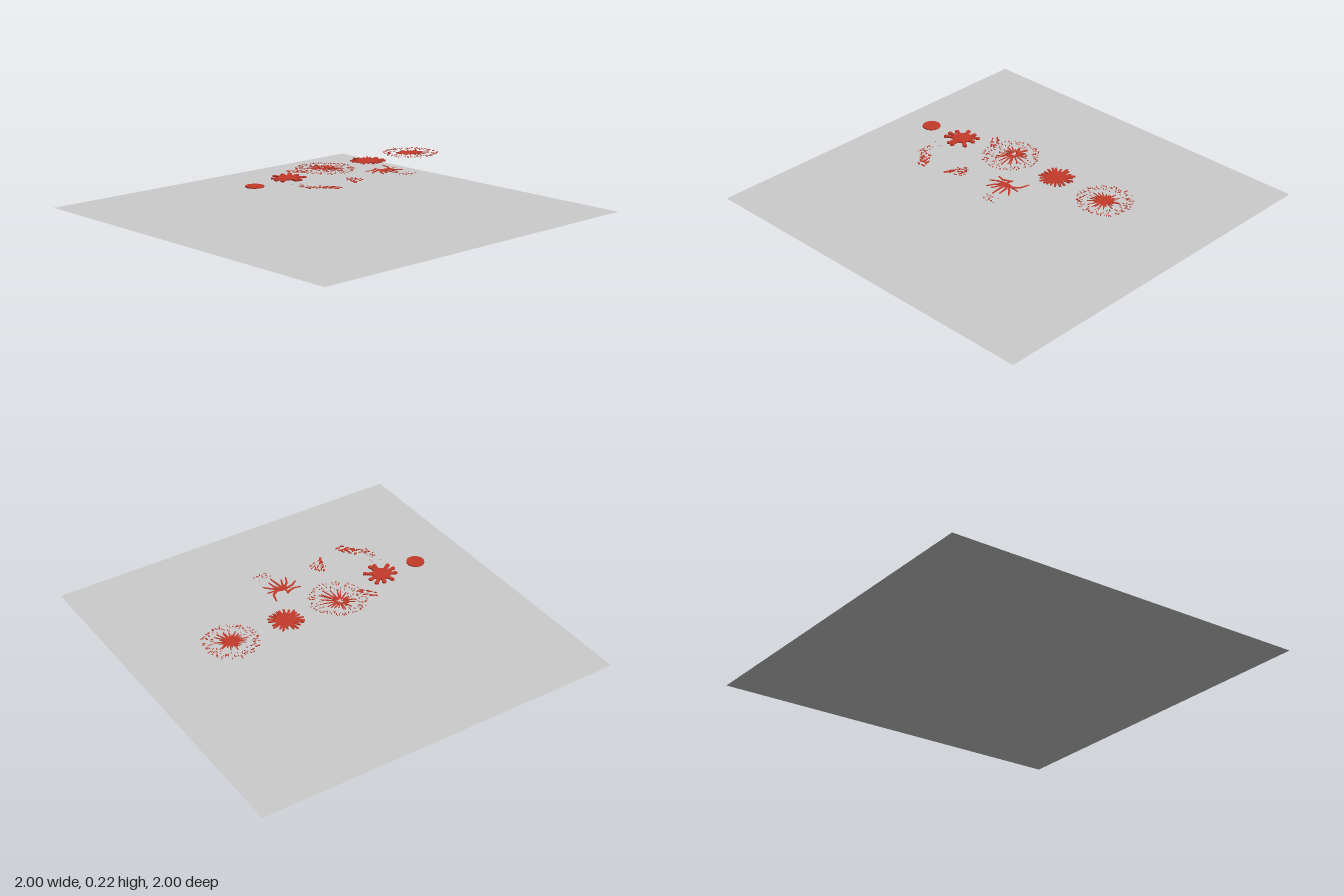
import * as THREE from 'three';

const red = new THREE.MeshStandardMaterial({ color: 0xc43a2a });
const grey = new THREE.MeshStandardMaterial({ color: 0xcccccc, side: THREE.DoubleSide });

// Small seeded random source
function seeded(seed) {
  let s = seed;
  return (a, b) => {
    s = (s * 16807) % 2147483647;
    return a + (b - a) * (s / 2147483647);
  };
}

// Outline of a streak from (x0, z0) to (x1, z1) with round ends of radius r0 and r1
function streak(x0, z0, x1, z1, r0, r1 = r0, steps = 4) {
  const a = Math.atan2(z0 - z1, x1 - x0);
  const pts = [];
  for (const [x, z, r, start] of [[x1, z1, r1, a - Math.PI / 2], [x0, z0, r0, a + Math.PI / 2]]) {
    for (let i = 0; i <= steps; i++) {
      const t = start + (Math.PI * i) / steps;
      pts.push(new THREE.Vector2(x + r * Math.cos(t), -z + r * Math.sin(t)));
    }
  }
  return new THREE.Shape(pts);
}

// Streak running outwards from a centre, between two distances
function ray(cx, cz, angle, d0, d1, r0, r1) {
  const c = Math.cos(angle), s = Math.sin(angle);
  return streak(cx + c * d0, cz + s * d0, cx + c * d1, cz + s * d1, r0, r1);
}

function disc(x, z, r) {
  const shape = new THREE.Shape();
  shape.absarc(x, -z, r, 0, Math.PI * 2);
  return shape;
}

// Chain of streaks through [x, z] points, thinning to its end
function branch(points, r0, r1) {
  const n = points.length - 1;
  return points.slice(1).map((p, i) => streak(...points[i], ...p,
    r0 + (r1 - r0) * i / n, r0 + (r1 - r0) * (i + 1) / n));
}

function addSplat(group, name, shapes, y, depth) {
  const geometry = new THREE.ExtrudeGeometry(shapes, { depth, bevelEnabled: false, curveSegments: 16 });
  geometry.rotateX(-Math.PI / 2);
  const mesh = new THREE.Mesh(geometry, red);
  mesh.name = name;
  mesh.position.y = y;
  group.add(mesh);
}

export function createModel() {
  const group = new THREE.Group();
  group.name = 'splatterSheet';
  const TAU = Math.PI * 2;

  // Square sheet below the splats
  const sheet = new THREE.Mesh(new THREE.PlaneGeometry(2, 2).rotateX(-Math.PI / 2), grey);
  sheet.name = 'groundSheet';
  group.add(sheet);

  // Plain round drop
  addSplat(group, 'roundDrop', [disc(-0.538, 0.015, 0.046)], 0.203, 0.005);

  // Drop with thick knobbed arms
  const knobs = [[-0.078, 0.008], [-0.07, 0.045], [-0.012, 0.078], [0.012, 0.08], [0.068, 0.046],
    [0.07, -0.01], [0.062, -0.052], [0.025, -0.064], [-0.022, -0.068], [-0.065, -0.03]];
  const lobed = [disc(-0.322, 0.008, 0.047)];
  for (const [x, z] of knobs) {
    lobed.push(streak(-0.322 + x * 0.4, 0.008 + z * 0.4, -0.322 + x, 0.008 + z, 0.011, 0.007));
    lobed.push(disc(-0.322 + x, 0.008 + z, 0.011));
  }
  addSplat(group, 'lobedSplat', lobed, 0.211, 0.007);

  // Drop with a fringe of short spokes
  let rnd = seeded(41);
  const fringed = [disc(0.278, -0.05, 0.052)];
  for (let i = 0; i < 22; i++) {
    const a = (i / 22) * TAU + rnd(-0.06, 0.06);
    fringed.push(ray(0.278, -0.05, a, 0.045, rnd(0.072, 0.09), 0.007, 0.005));
  }
  addSplat(group, 'fringedSplat', fringed, 0.203, 0.004);

  // Burst with a spiky core and flying specks
  rnd = seeded(77);
  const burst = [disc(0.592, -0.052, 0.03)];
  for (let i = 0; i < 26; i++) {
    const a = (i / 26) * TAU + rnd(-0.08, 0.08);
    burst.push(ray(0.592, -0.052, a, 0.02, rnd(0.045, 0.088), 0.006, 0.002));
  }
  for (let i = 0; i < 150; i++) {
    const a = (i / 50) * TAU + rnd(-0.1, 0.1);
    const d = 0.07 + 0.068 * Math.sqrt(rnd(0, 1));
    burst.push(ray(0.592, -0.052, a, d, d + rnd(0.002, 0.01), 0.0022, 0.0014));
  }
  addSplat(group, 'burstSplat', burst, 0.203, 0.002);

  // Scattered splat with long streaks below its centre
  rnd = seeded(123);
  const scattered = [];
  for (let i = 0; i < 22; i++) {
    const a = (i / 22) * TAU + rnd(-0.12, 0.12);
    const reach = 0.06 + 0.045 * Math.max(0, Math.sin(a));
    scattered.push(ray(-0.025, -0.065, a, rnd(0.012, 0.03), reach + rnd(-0.02, 0.02), 0.0045, 0.0025));
  }
  for (let i = 0; i < 150; i++) {
    const a = (i / 50) * TAU + rnd(-0.1, 0.1);
    const d = 0.06 + 0.085 * Math.sqrt(rnd(0, 1));
    scattered.push(ray(-0.025, -0.045, a, d, d + rnd(0.002, 0.009), 0.0024, 0.0014));
  }
  for (let i = 0; i < 16; i++) {
    const x = rnd(-0.215, -0.15), z = -0.085 + (x + 0.18) * 1.1 + rnd(-0.03, 0.03);
    scattered.push(streak(x, z, x + rnd(0.004, 0.012), z + rnd(0.002, 0.01), 0.0035));
  }
  addSplat(group, 'scatteredSplat', scattered, 0.208, 0.002);

  // Root-like splat spreading towards the front
  const roots = [
    [[0.15, 0.14], [0.11, 0.155], [0.075, 0.145]],
    [[0.14, 0.17], [0.1, 0.18], [0.07, 0.2]],
    [[0.145, 0.18], [0.115, 0.21], [0.095, 0.25]],
    [[0.15, 0.17], [0.14, 0.21], [0.125, 0.245]],
    [[0.155, 0.18], [0.16, 0.23], [0.165, 0.28]],
    [[0.165, 0.18], [0.185, 0.215], [0.19, 0.255]],
    [[0.17, 0.18], [0.205, 0.205], [0.235, 0.24]],
    [[0.165, 0.17], [0.2, 0.18], [0.24, 0.185]],
    [[0.19, 0.18], [0.225, 0.155], [0.238, 0.105]],
    [[0.155, 0.18], [0.15, 0.155], [0.155, 0.13]],
  ].flatMap((p) => branch(p, 0.007, 0.0035));
  rnd = seeded(9);
  for (let i = 0; i < 22; i++) {
    const x = rnd(0.15, 0.24);
    roots.push(disc(x, 0.32 + rnd(-0.025, 0.028), rnd(0.0015, 0.003)));
  }
  addSplat(group, 'rootSplat', roots, 0.208, 0.002);

  // Curved trail of drops, growing towards its end
  const path = new THREE.CatmullRomCurve3([[-0.37, 0.14], [-0.375, 0.22], [-0.33, 0.26], [-0.285, 0.315]]
    .map(([x, z]) => new THREE.Vector3(x, 0, z)));
  rnd = seeded(31);
  const trail = [];
  for (let i = 0; i < 60; i++) {
    const t = i / 59, p = path.getPoint(t);
    const x = p.x + rnd(-0.026, 0.026), z = p.z + rnd(-0.02, 0.02);
    const r = 0.0015 + 0.004 * t * rnd(0.4, 1);
    trail.push(streak(x, z, x + rnd(0.2, 1) * 0.018 * t, z + rnd(-0.2, 1) * 0.014 * t, r));
  }
  addSplat(group, 'curvedTrail', trail, 0.208, 0.002);

  // Small fan of specks thrown from one point
  rnd = seeded(57);
  const fan = branch([[-0.145, 0.3], [-0.13, 0.275], [-0.115, 0.26]], 0.007, 0.004);
  for (let i = 0; i < 34; i++) {
    const a = rnd(-1.35, -0.15), d = rnd(0.02, 0.12) * (0.7 - 0.3 * a * 0.7);
    fan.push(ray(-0.145, 0.295, a, d, d + rnd(0.003, 0.014), 0.0032, 0.0018));
  }
  addSplat(group, 'speckFan', fan, 0.208, 0.002);

  return group;
}
